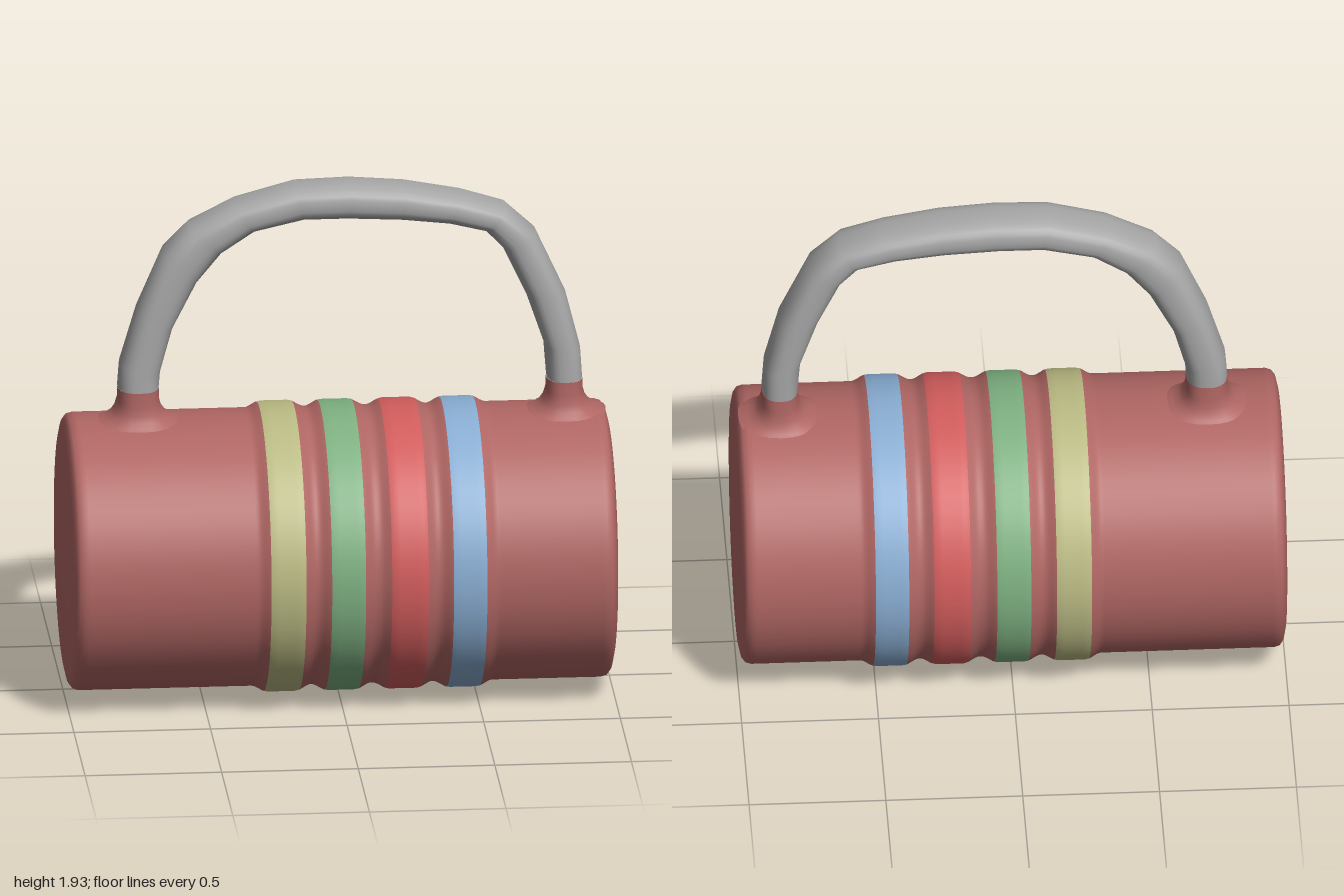
import * as THREE from 'three';

const AXIS_Y = 0.531;   // height of the barrel axis
const BASE_R = 0.508;   // barrel radius
const DEPTH = 1.012;    // the barrel is a touch deeper than high
const SIDES = 28;       // sides of the handle section

const mat = (color) => new THREE.MeshStandardMaterial({ color });

// Raised rings: centre along x, half width of the coloured stripe
const BANDS = [
  { name: 'yellowBand', x: -0.215, half: 0.064, color: 0xb9b983 },
  { name: 'greenBand', x: 0.005, half: 0.062, color: 0x7daf80 },
  { name: 'redBand', x: 0.23, half: 0.067, color: 0xd15c5c },
  { name: 'blueBand', x: 0.45, half: 0.061, color: 0x88acd1 },
];

// Barrel radius with a soft bump under every band
function radiusAt(x) {
  let r = BASE_R;
  for (const b of BANDS) {
    const t = 1 - THREE.MathUtils.smoothstep(Math.abs(x - b.x), 0.05, 0.108);
    r = Math.max(r, BASE_R + 0.023 * t);
  }
  return r;
}

// Revolved piece of the barrel, lying along x
function barrelPiece(name, profile, material) {
  const pts = profile.map(([x, r]) => new THREE.Vector2(r, x));
  const geo = new THREE.LatheGeometry(pts, 64);
  geo.rotateZ(-Math.PI / 2);
  geo.scale(1, 1, DEPTH);
  const mesh = new THREE.Mesh(geo, material);
  mesh.name = name;
  mesh.position.y = AXIS_Y;
  return mesh;
}

function span(x0, x1, n) {
  return Array.from({ length: n + 1 }, (_, i) => {
    const x = x0 + ((x1 - x0) * i) / n;
    return [x, radiusAt(x)];
  });
}

// Skin over a list of rings with equal point counts
function loft(name, rings, material) {
  const n = rings[0].length, pos = [], idx = [];
  rings.forEach((ring) => ring.forEach((p) => pos.push(p.x, p.y, p.z)));
  for (let i = 0; i < rings.length - 1; i++) {
    for (let j = 0; j < n; j++) {
      const a = i * n + j, b = i * n + ((j + 1) % n);
      idx.push(a, b, a + n, b, b + n, a + n);
    }
  }
  const geo = new THREE.BufferGeometry();
  geo.setAttribute('position', new THREE.Float32BufferAttribute(pos, 3));
  geo.setIndex(idx);
  geo.computeVertexNormals();
  const mesh = new THREE.Mesh(geo, material);
  mesh.name = name;
  return mesh;
}

// Slightly squared oval; u and v run from -1 to 1
function oval(j) {
  const a = (j / SIDES) * Math.PI * 2;
  const sq = (t) => Math.sign(t) * Math.pow(Math.abs(t), 0.78);
  return [sq(Math.cos(a)), sq(Math.sin(a))];
}

// Short post that flares into the barrel
function post(name, x, halfX, material) {
  // growth of the section, height above the barrel (null: flat top)
  const steps = [[0.085, -0.006], [0.05, 0.006], [0.026, 0.02], [0.01, 0.042], [0, 0.075], [0, null]];
  const rings = steps.map(([grow, lift]) => Array.from({ length: SIDES }, (_, j) => {
    const [u, v] = oval(j);
    const z = -0.005 - v * (0.1 + grow * 0.5);
    const y = lift === null ? 1.16 : AXIS_Y + Math.sqrt(BASE_R ** 2 - z * z) + lift;
    return new THREE.Vector3(x + u * (halfX + grow), y, z);
  }));
  return loft(name, rings, material);
}

// Arched grip, given by its outer and inner edge in the xy plane
function grip(material) {
  const pairs = [ // outer x, outer y, inner x, inner y
    [-0.80, 1.16, -0.65, 1.16], [-0.793, 1.25, -0.645, 1.22], [-0.73, 1.46, -0.60, 1.385],
    [-0.635, 1.68, -0.51, 1.56], [-0.54, 1.775, -0.42, 1.67], [-0.37, 1.86, -0.30, 1.75],
    [-0.15, 1.92, -0.12, 1.79], [0.05, 1.926, 0.04, 1.79], [0.25, 1.91, 0.24, 1.78],
    [0.46, 1.87, 0.41, 1.762], [0.62, 1.82, 0.545, 1.73], [0.73, 1.72, 0.61, 1.66],
    [0.84, 1.48, 0.695, 1.48], [0.893, 1.27, 0.76, 1.29], [0.90, 1.16, 0.77, 1.16],
  ];
  const rings = pairs.map(([ox, oy, ix, iy], i) => {
    const mid = Math.sin((i / (pairs.length - 1)) * Math.PI);
    return Array.from({ length: SIDES }, (_, j) => {
      const [u, v] = oval(j);
      return new THREE.Vector3(
        (ox + ix + u * (ox - ix)) / 2,
        (oy + iy + u * (oy - iy)) / 2,
        -0.005 - 0.01 * mid + v * (0.1 + 0.004 * mid));
    });
  });
  return loft('handleGrip', rings, material);
}

export function createModel() {
  const group = new THREE.Group();
  group.name = 'handledBarrel';
  const body = mat(0xaf6663);

  // Barrel: plain sections between the bands, closed by rounded ends
  const cap = [[1, 0], [1, 0.36], [0.996, 0.45], [0.988, 0.485], [0.975, 0.502], [0.955, BASE_R]];
  let start = -0.94;
  BANDS.forEach((b, i) => {
    const x0 = b.x - b.half, x1 = b.x + b.half;
    const profile = i === 0
      ? [...cap.map(([x, r]) => [-x, r]), [start, BASE_R], ...span(-0.36, x0, 10)]
      : span(start, x0, 14);
    group.add(barrelPiece('barrelSection' + (i + 1), profile, body));
    group.add(barrelPiece(b.name, span(x0, x1, 8), mat(b.color)));
    start = x1;
  });
  group.add(barrelPiece('barrelSection5',
    [...span(start, 0.6, 10), [0.94, BASE_R], ...cap.slice().reverse()], body));

  // Handle
  group.add(post('leftPost', 0.835, 0.067, body));
  group.add(post('rightPost', -0.725, 0.076, body));
  group.add(grip(mat(0xa7a7a7)));
  return group;
}
